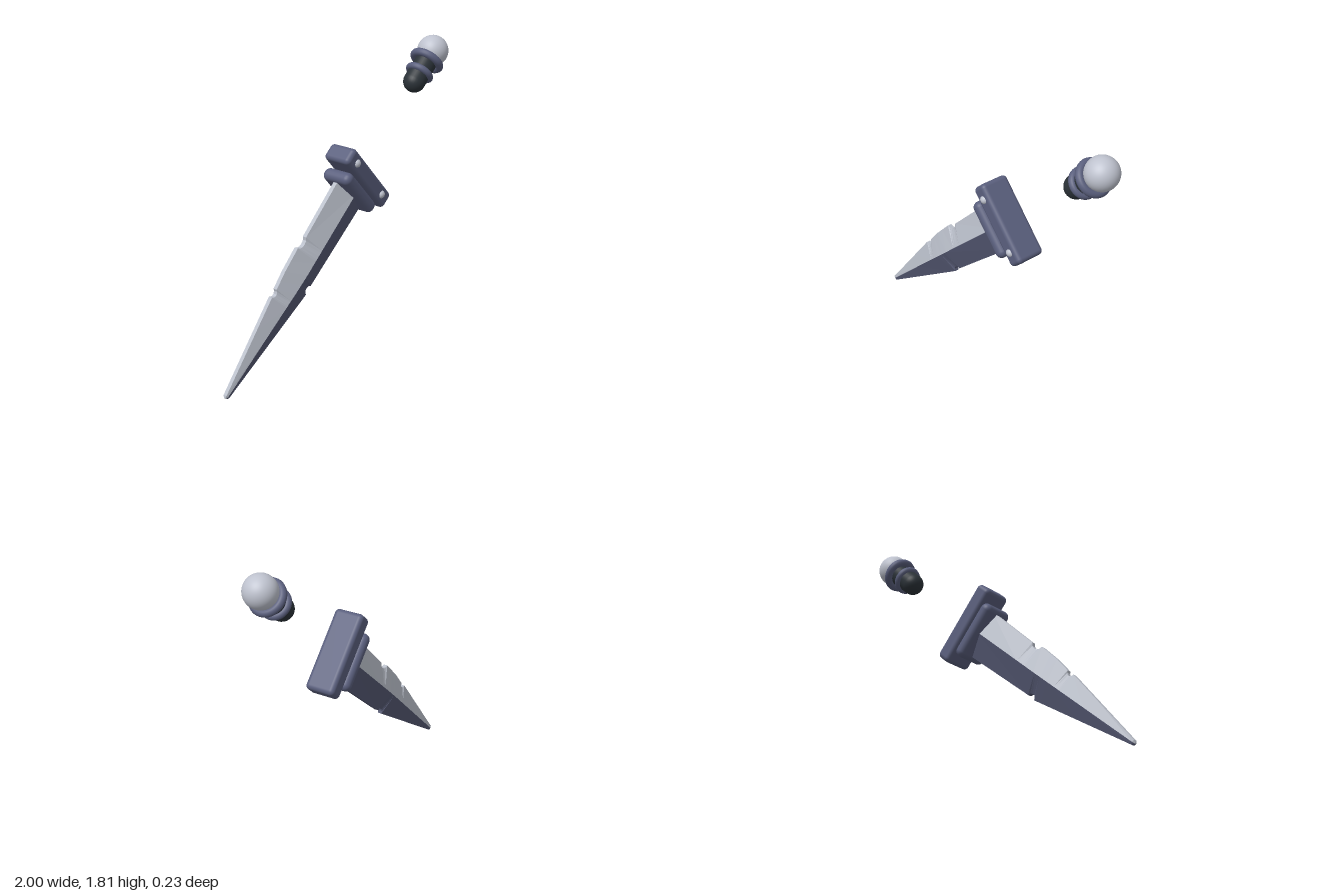
import * as THREE from 'three';
import { RoundedBoxGeometry } from 'three/addons/geometries/RoundedBoxGeometry.js';

const mat = (name, color, flatShading = false) => {
  const m = new THREE.MeshStandardMaterial({ color, flatShading });
  m.name = name;
  return m;
};

// piecewise linear lookup in a list of [t, value]
function lerpProfile(points, t) {
  for (let i = 1; i < points.length; i++) {
    const [t0, v0] = points[i - 1], [t1, v1] = points[i];
    if (t <= t1) return v0 + (v1 - v0) * (t - t0) / (t1 - t0);
  }
  return points[points.length - 1][1];
}

// blade outlines: distance from the tip, half width
const upperEdge = [
  [-0.013, 0.006], [0, 0.015], [0.612, 0.117], [0.62, 0.104], [0.632, 0.096], [0.646, 0.096],
  [0.66, 0.105], [0.667, 0.118], [0.781, 0.136], [0.94, 0.146], [0.949, 0.128], [0.965, 0.116],
  [0.99, 0.112], [1.012, 0.118], [1.026, 0.134], [1.46, 0.151],
];
const lowerEdge = [
  [-0.013, 0.006], [0, 0.015], [0.776, 0.135], [0.782, 0.119], [0.795, 0.11], [0.812, 0.11],
  [0.828, 0.117], [0.838, 0.131], [1.46, 0.151],
];
const ridge = [[-0.013, 0.008], [0, 0.015], [0.4, 0.037], [0.72, 0.055], [0.85, 0.06], [1.46, 0.06]];
const edgeThickness = [[-0.013, 0.006], [0, 0.012], [1.46, 0.014]];

// one half of the blade, lofted along its length; side is -1 (upper) or +1 (lower)
function bladeHalf(profile, side) {
  const stations = [...new Set([...profile, ...ridge].map(p => p[0]))].sort((a, b) => a - b);
  const sections = stations.map(t => {
    const w = side * lerpProfile(profile, t), h = lerpProfile(ridge, t), e = lerpProfile(edgeThickness, t);
    const ring = [[0, h], [w, e], [w, -e], [0, -h]];
    if (side > 0) ring.reverse();
    return ring.map(([x, z]) => [x, t, z]);
  });
  const pos = [];
  const tri = (...pts) => pts.forEach(p => pos.push(...p));
  for (let i = 0; i + 1 < sections.length; i++) {
    const lo = sections[i], hi = sections[i + 1];
    for (let j = 0; j < 3; j++) {
      tri(lo[j + 1], lo[j], hi[j]);
      tri(lo[j + 1], hi[j], hi[j + 1]);
    }
  }
  const c = sections[0];
  tri(c[0], c[1], c[2]);
  tri(c[0], c[2], c[3]);
  const g = new THREE.BufferGeometry();
  g.setAttribute('position', new THREE.Float32BufferAttribute(pos, 3));
  g.computeVertexNormals();
  return g;
}

export function createModel() {
  const silver = mat('silver', 0xbfc3cf);
  const silverFacet = mat('bladeSilver', 0xbabfca, true);
  const slate = mat('slate', 0x5a5f7d);
  const slateFacet = mat('bladeSlate', 0x555973, true);
  const black = mat('gripBlack', 0x2b3238);

  // dagger built upright with its tip at the origin, then tilted
  const dagger = new THREE.Group();
  dagger.name = 'dagger';
  const add = (name, geometry, material, x, y, z) => {
    const m = new THREE.Mesh(geometry, material);
    m.name = name;
    m.position.set(x, y, z);
    dagger.add(m);
    return m;
  };

  // notched blade
  add('bladeUpperHalf', bladeHalf(upperEdge, -1), silverFacet, 0, 0, 0);
  add('bladeLowerHalf', bladeHalf(lowerEdge, 1), slateFacet, 0, 0, 0);

  // collar, guard and its two front studs
  add('collar', new RoundedBoxGeometry(0.37, 0.082, 0.212, 5, 0.038), slate, 0, 1.453, 0);
  add('guard', new RoundedBoxGeometry(0.52, 0.112, 0.195, 5, 0.028), slate, 0, 1.56, 0);
  for (const s of [-1, 1]) {
    add('guardStud', new THREE.SphereGeometry(0.028, 20, 14), silver, s * 0.173, 1.56, 0.085);
  }

  // floating grip end with rings and pommel
  add('grip', new THREE.CapsuleGeometry(0.071, 0.2, 10, 32), black, 0, 2.395, 0);
  for (const [y, radius, tube] of [[2.364, 0.072, 0.022], [2.462, 0.089, 0.025]]) {
    add('gripRing', new THREE.TorusGeometry(radius, tube, 14, 40), slate, 0, y, 0).rotation.x = Math.PI / 2;
  }
  add('pommel', new THREE.SphereGeometry(0.1, 36, 24), silver, 0, 2.543, 0);

  dagger.rotation.z = THREE.MathUtils.degToRad(-48);
  dagger.position.set(-0.99, 0.015, 0);

  const model = new THREE.Group();
  model.name = 'model';
  model.add(dagger);
  return model;
}
